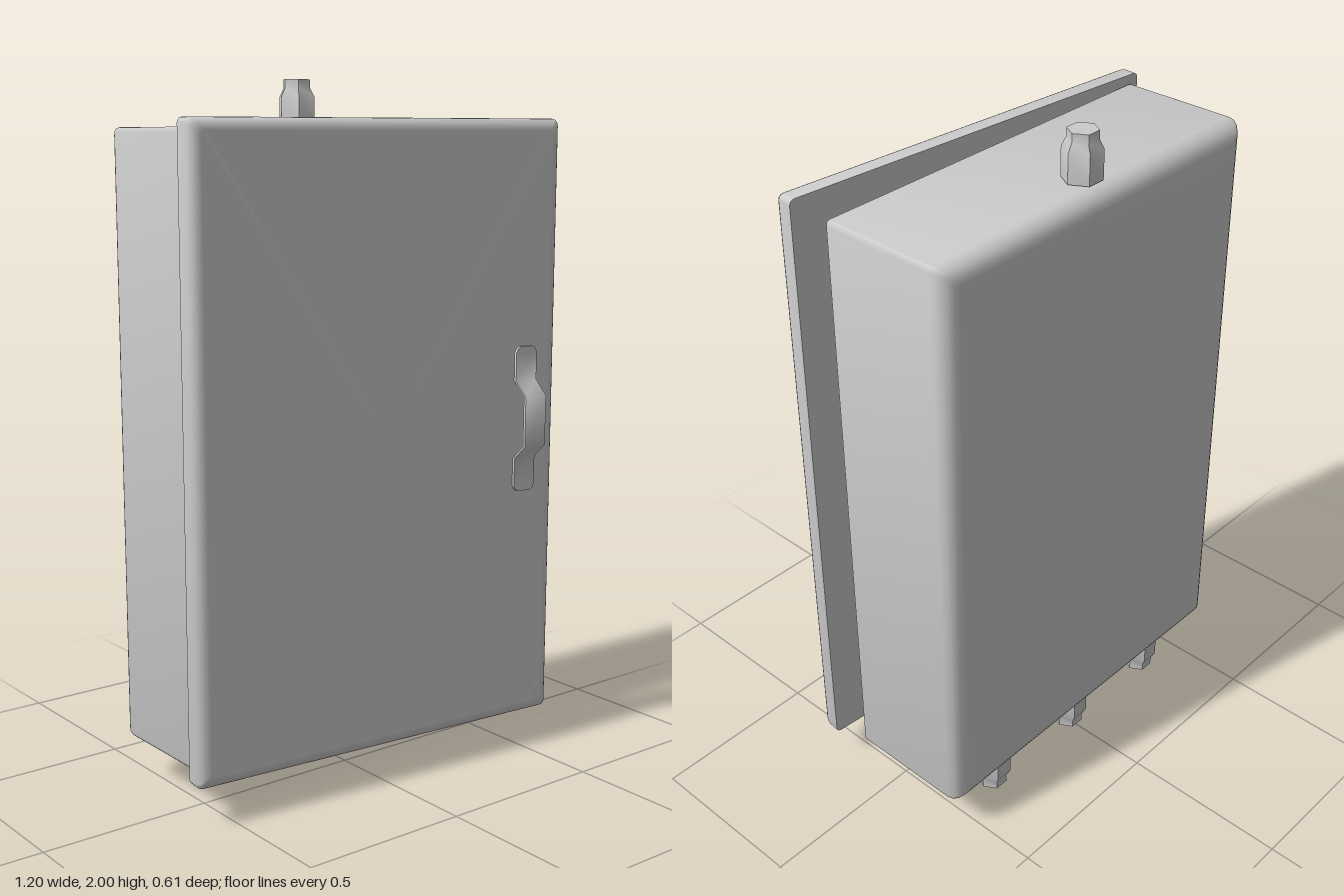
import * as THREE from 'three';
import { toCreasedNormals } from 'three/addons/utils/BufferGeometryUtils.js';

const CENTRE = null;

// Rounded rectangle ring, counter-clockwise seen from +z; CENTRE collapses it to a point
function ring(w, h, r, inset, z) {
  const pts = [], n = 3;
  for (let q = 0; q < 4; q++) {
    const sx = q === 0 || q === 3 ? 1 : -1, sy = q < 2 ? 1 : -1;
    for (let k = 0; k <= n; k++) {
      const a = (q + k / n) * Math.PI / 2;
      pts.push(inset === CENTRE ? [0, 0, z] : [
        sx * (w / 2 - inset - r) + r * Math.cos(a),
        sy * (h / 2 - inset - r) + r * Math.sin(a), z]);
    }
  }
  return pts;
}

// Skin a list of [inset, z] rings
function skin(w, h, r, profile) {
  const rings = profile.map(([inset, z]) => ring(w, h, r, inset, z));
  const pos = [];
  for (let i = 0; i < rings.length - 1; i++) {
    const A = rings[i], B = rings[i + 1];
    for (let j = 0; j < A.length; j++) {
      const k = (j + 1) % A.length;
      if (profile[i][0] !== CENTRE) pos.push(...A[j], ...A[k], ...B[j]);
      if (profile[i + 1][0] !== CENTRE) pos.push(...A[k], ...B[k], ...B[j]);
    }
  }
  const g = new THREE.BufferGeometry();
  g.setAttribute('position', new THREE.Float32BufferAttribute(pos, 3));
  return toCreasedNormals(g, 0.6);
}

// Fillet from a flat face at z = z0 onto the side wall; dir is the way the wall runs
function fillet(radius, z0, dir, offset = 0) {
  const pts = [[offset + radius + 0.004, z0]], n = 5;
  for (let i = 0; i <= n; i++) {
    const a = i / n * Math.PI / 2;
    pts.push([offset + radius * (1 - Math.sin(a)), z0 + dir * radius * (1 - Math.cos(a))]);
  }
  pts.push([offset, z0 + dir * (radius + 0.004)]);
  return pts;
}

export function createModel() {
  const model = new THREE.Group();
  model.name = 'wallCabinet';
  const grey = new THREE.MeshStandardMaterial({ color: 0xcccccc });
  grey.name = 'lightGrey';
  const add = (parent, name, geometry, x, y, z) => {
    const mesh = new THREE.Mesh(geometry, grey);
    mesh.name = name;
    mesh.position.set(x, y, z);
    parent.add(mesh);
    return mesh;
  };

  // Hollow housing, open at the front, with a rounded back
  const wall = 0.015, back = -0.31, front = 0.083;
  add(model, 'housing', skin(1.155, 1.73, 0.012, [
    [CENTRE, back],
    ...fillet(0.05, back, 1),
    [0, front], [wall, front],
    ...fillet(0.035, back + wall, 1, wall).reverse(),
    [CENTRE, back + wall],
  ]), 0.0025, 1, 0);

  // Door, slightly ajar, flat behind and rounded in front
  const door = new THREE.Group();
  door.name = 'door';
  door.position.set(0, 1, 0.1375);
  door.rotation.y = -Math.atan2(0.105, 1.2);
  model.add(door);
  const depth = 0.067;
  add(door, 'doorPanel', skin(1.2046, 1.78, 0.015, [
    [CENTRE, 0], [0, 0],
    ...fillet(0.03, depth, -1).reverse(),
    [CENTRE, depth],
  ]), 0, 0, 0);

  // Strap handle: rows of [y, half width, rise]
  const half = [[0.215, 0.022, 0], [0.209, 0.032, 0], [0.197, 0.0375, 0],
    [0.115, 0.0375, 0], [0.073, 0.0375, 0.046]];
  const rows = [...half, ...half.map(([y, w, z]) => [-y, w, z]).reverse()];
  const n = rows.length - 1;
  const strap = new THREE.BoxGeometry(2, 1, 0.009, 1, n, 1);
  const p = strap.attributes.position;
  for (let i = 0; i < p.count; i++) {
    const [y, w, rise] = rows[Math.round((0.5 - p.getY(i)) * n)];
    p.setXYZ(i, p.getX(i) * w, y, p.getZ(i) + rise);
  }
  add(door, 'handle', toCreasedNormals(strap, 0.9), 0.482, 0.025, depth + 0.0045);

  // Six-sided cable glands, one on top and three underneath
  const profile = [[0, 0], [0.055, 0], [0.055, 0.083], [0.042, 0.107], [0.042, 0.132], [0, 0.132]]
    .map(([r, y]) => new THREE.Vector2(r, y));
  const gland = toCreasedNormals(new THREE.LatheGeometry(profile, 6, Math.PI / 2), 0.5);
  add(model, 'topGland', gland, -0.005, 1.868, -0.217);
  for (const x of [-0.355, -0.005, 0.345]) {
    add(model, 'bottomGland', gland, x, 0.132, -0.217).rotation.x = Math.PI;
  }

  return model;
}
